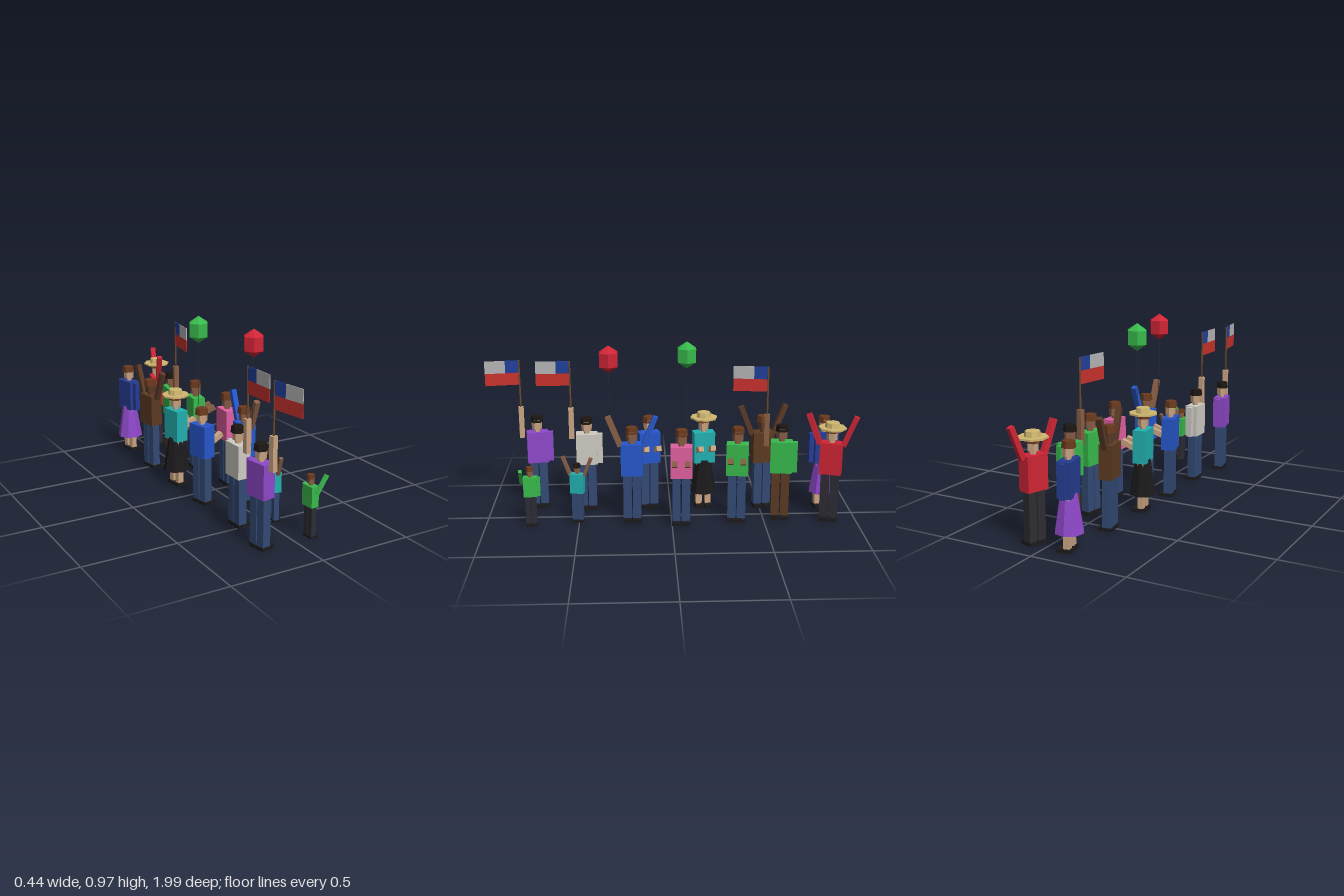
import * as THREE from 'three';

const C = {
  navy: 0x334a75, dark: 0x2c2c33, brown: 0x5c3a22, black: 0x1c1a1c, purple: 0x8e48c8, grey: 0xcfccc4,
  blue: 0x2657cc, green: 0x38b94c, pink: 0xe060a0, teal: 0x22b0b0, red: 0xd02535, indigo: 0x263c92,
  straw: 0xd1b870, pole: 0x6b4a2e, tan: 0xcaa582, mid: 0x8a5f45, deep: 0x5a3a28, hairBrown: 0x6b3a1e, hairBlack: 0x1c1713,
  flagWhite: 0xb4b4b4, flagBlue: 0x20409a, flagRed: 0xc8322c,
};
const mats = {};
const mat = (c) => (mats[c] ??= new THREE.MeshStandardMaterial({ color: c, flatShading: true }));

function add(parent, name, geo, color, x = 0, y = 0, z = 0) {
  const m = new THREE.Mesh(geo, mat(color));
  m.name = name;
  m.position.set(x, y, z);
  parent.add(m);
  return m;
}
const box = (w, h, d) => new THREE.BoxGeometry(w, h, d);
const cyl = (rt, rb, h, n) => new THREE.CylinderGeometry(rt, rb, h, n);

// Square limb between two points
function limb(parent, name, a, b, t, color) {
  const A = new THREE.Vector3(...a), B = new THREE.Vector3(...b);
  const dir = B.clone().sub(A);
  const m = add(parent, name, box(t, dir.length(), t), color);
  m.position.copy(A).add(B).multiplyScalar(0.5);
  m.quaternion.setFromUnitVectors(new THREE.Vector3(0, 1, 0), dir.normalize());
}

// Arm poses for side s (+1 is +z), shoulder to hand; each person faces local +x
const poses = {
  down: (s) => [[0, 0.435, s * 0.072], [0, 0.267, s * 0.072]],
  up: (s) => [[0, 0.425, s * 0.062], [0, 0.588, s * 0.126]],
  flag: (s) => [[0, 0.41, s * 0.082], [0, 0.585, s * 0.082]],
  clap: (s) => [[0, 0.328, s * 0.034], [0.102, 0.372, s * 0.034]],
  wave: (s) => [[0, 0.39, s * 0.075], [0.095, 0.525, s * 0.075]],
};

function flag(parent, z) {
  const g = new THREE.Group();
  g.name = 'flag';
  g.position.set(0, 0, z);
  parent.add(g);
  add(g, 'pole', cyl(0.005, 0.005, 0.295, 6), C.pole, 0, 0.6975, 0);
  add(g, 'lowerStripe', box(0.004, 0.067, 0.183), C.flagRed, 0, 0.7435, 0.0915);
  add(g, 'upperStripe', box(0.004, 0.068, 0.109), C.flagWhite, 0, 0.811, 0.1285);
  add(g, 'canton', box(0.004, 0.068, 0.074), C.flagBlue, 0, 0.811, 0.037);
}

function person(root, p) {
  const g = new THREE.Group();
  g.name = p.name;
  g.position.set(p.x, 0, p.z);
  g.rotation.y = -THREE.MathUtils.degToRad(p.yaw);
  g.scale.setScalar(p.scale ?? 1);
  root.add(g);

  // Legs and shoes
  for (const s of [-1, 1]) {
    const t = p.skirt ? 0.032 : 0.045;
    add(g, 'leg', box(t, 0.252, t), p.skirt ? p.skin : p.legs, 0, 0.142, s * 0.0255);
    add(g, 'shoe', box(0.074, 0.018, 0.046), C.black, 0.011, 0.009, s * 0.0255);
  }
  if (p.skirt) add(g, 'skirt', cyl(0.042, 0.073, 0.19, 8), p.skirt, 0, 0.185, 0);

  // Torso, neck and head
  add(g, 'torso', box(0.07, 0.174, 0.117), p.top, 0, 0.352, 0);
  add(g, 'neck', cyl(0.016, 0.016, 0.03, 6), p.skin, 0, 0.45, 0);
  add(g, 'head', cyl(0.03, 0.028, 0.055, 6), p.skin, 0, 0.4825, 0);
  add(g, 'hair', cyl(0.031, 0.035, 0.034, 6), p.hair, -0.003, 0.511, 0);
  if (p.hat) {
    add(g, 'hatBrim', cyl(0.075, 0.075, 0.009, 8), C.straw, 0, 0.52, 0);
    add(g, 'hatCrown', cyl(0.036, 0.041, 0.028, 8), C.straw, 0, 0.537, 0);
  }

  // Arms: [pose, colour] for the -z and +z sides
  p.arms.forEach(([pose, color], i) => {
    const s = i ? 1 : -1;
    limb(g, 'arm', ...poses[pose](s), 0.028, color);
    if (pose === 'flag') flag(g, s * 0.083);
  });
}

function balloon(root, x, z, color) {
  const g = new THREE.Group();
  g.name = 'balloon';
  g.position.set(x, 0, z);
  root.add(g);
  const b = add(g, 'balloonBody', new THREE.SphereGeometry(0.0635, 6, 3), color, 0, 0.8925, 0);
  b.scale.y = 1.15;
  add(g, 'string', cyl(0.0015, 0.0015, 0.35, 4), C.dark, 0, 0.645, 0);
}

export function createModel() {
  const root = new THREE.Group();
  root.name = 'cheeringCrowd';
  const both = (pose, c) => [[pose, c], [pose, c]];
  const { hairBrown, hairBlack, tan, mid, deep, navy } = C;

  const people = [
    // Back row
    { name: 'purpleFlagBearer', x: -0.18, z: 0.735, yaw: -9, top: C.purple, legs: navy, skin: tan, hair: hairBlack,
      arms: [['down', C.purple], ['flag', tan]] },
    { name: 'greyFlagBearer', x: -0.137, z: 0.46, yaw: -1, top: C.grey, legs: navy, skin: tan, hair: hairBlack,
      arms: [['down', C.grey], ['flag', tan]] },
    { name: 'blueClapper', x: -0.148, z: 0.118, yaw: -12, top: C.blue, legs: navy, skin: tan, hair: hairBrown,
      arms: both('clap', tan) },
    { name: 'tealClapper', x: -0.143, z: -0.185, yaw: -8, top: C.teal, skirt: C.black, skin: tan, hair: hairBrown,
      hat: true, arms: both('clap', tan) },
    { name: 'brownCheerer', x: -0.135, z: -0.512, yaw: -8, top: C.brown, legs: navy, skin: deep, hair: hairBrown,
      arms: both('up', deep) },
    { name: 'indigoWatcher', x: -0.115, z: -0.85, yaw: -10, top: C.indigo, skirt: C.purple, skin: tan, hair: hairBrown,
      arms: both('down', C.indigo) },
    // Front row
    { name: 'greenChild', x: 0.095, z: 0.755, yaw: -4, scale: 0.62, top: C.green, legs: C.dark, skin: mid, hair: hairBrown,
      arms: [['down', C.green], ['wave', C.green]] },
    { name: 'tealChild', x: 0.053, z: 0.507, yaw: 12, scale: 0.62, top: C.teal, legs: navy, skin: mid, hair: hairBlack,
      arms: both('up', mid) },
    { name: 'blueCheerer', x: 0.053, z: 0.212, yaw: 2, top: C.blue, legs: navy, skin: mid, hair: hairBrown,
      arms: [['up', C.blue], ['up', mid]] },
    { name: 'pinkClapper', x: 0.105, z: -0.05, yaw: 3, top: C.pink, legs: navy, skin: mid, hair: hairBrown,
      arms: both('clap', mid) },
    { name: 'greenClapper', x: 0.073, z: -0.352, yaw: 9, top: C.green, legs: navy, skin: mid, hair: hairBrown,
      arms: both('clap', mid) },
    { name: 'greenFlagBearer', x: 0.042, z: -0.592, yaw: 8, top: C.green, legs: C.brown, skin: mid, hair: hairBlack,
      arms: [['down', C.green], ['flag', mid]] },
    { name: 'redCheerer', x: 0.075, z: -0.855, yaw: 17, top: C.red, legs: C.dark, skin: tan, hair: hairBrown,
      hat: true, arms: both('up', C.red) },
  ];
  people.forEach((p) => person(root, p));

  balloon(root, -0.053, -0.085, C.green);
  balloon(root, 0.031, 0.328, C.red);
  return root;
}
